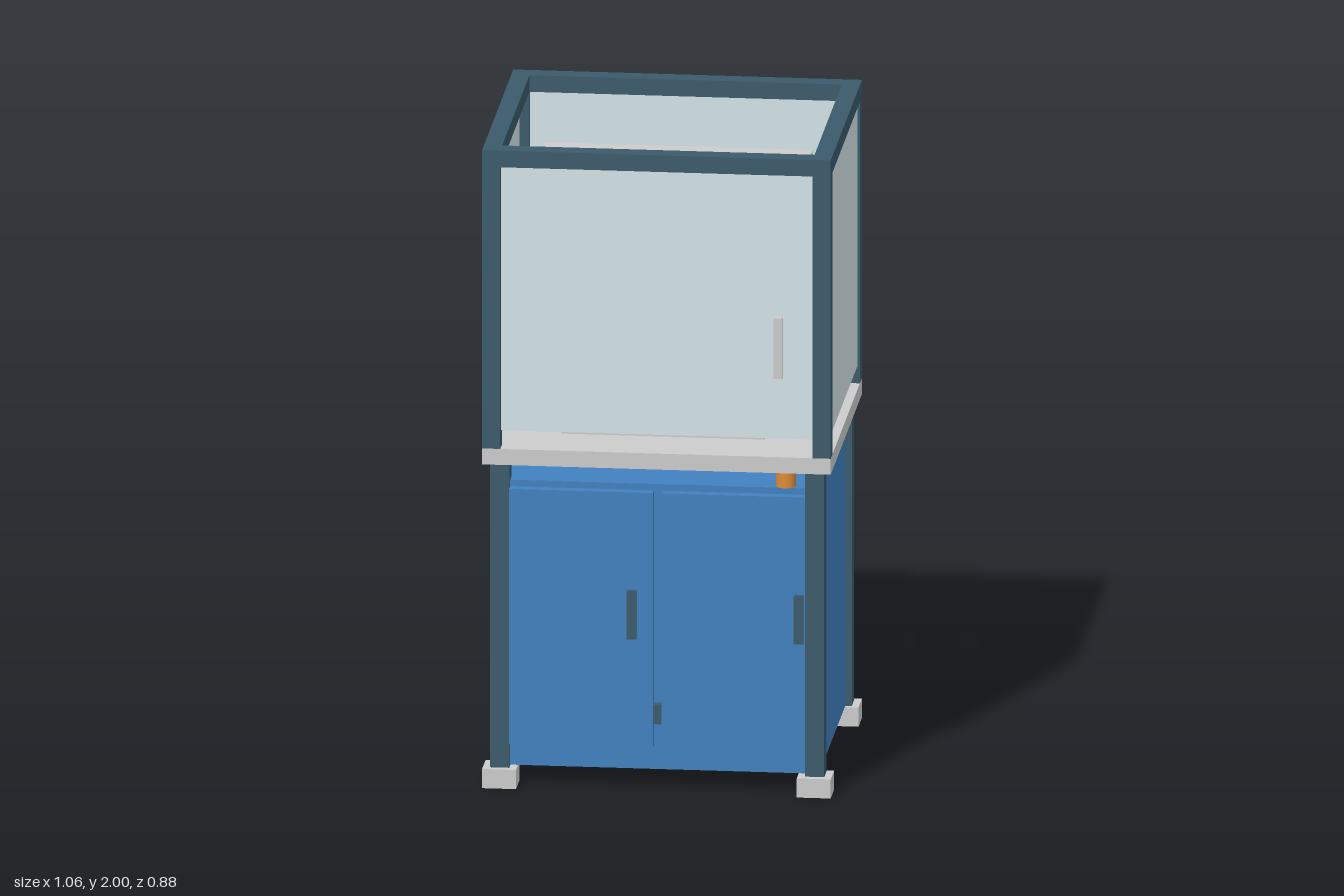
import * as THREE from 'three';

const mat = (color) => new THREE.MeshStandardMaterial({ color });

export function createModel() {
  const model = new THREE.Group();
  const grey = mat(0xcccccc), steel = mat(0x3a5a6b), blue = mat(0x4080bf);
  const glass = mat(0xd3e3e7), cream = mat(0xf0ead8), orange = mat(0xdd8a38);

  // Box given by its extents along each axis
  const box = (name, material, [x0, x1], [y0, y1], [z0, z1]) => {
    const mesh = new THREE.Mesh(new THREE.BoxGeometry(x1 - x0, y1 - y0, z1 - z0), material);
    mesh.position.set((x0 + x1) / 2, (y0 + y1) / 2, (z0 + z1) / 2);
    mesh.name = name;
    model.add(mesh);
    return mesh;
  };
  // Extents mirrored to the given side
  const side = (s, a, b) => (s > 0 ? [a, b] : [-b, -a]);

  // Feet, legs and the posts of the upper enclosure
  for (const sx of [-1, 1]) {
    for (const sz of [-1, 1]) {
      box('foot', grey, side(sx, 0.425, 0.528), [0, 0.06], side(sz, 0.343, 0.44));
      box('leg', steel, side(sx, 0.448, 0.506), [0.06, 1.015], side(sz, 0.358, 0.418));
      box('enclosurePost', steel, side(sx, 0.473, 0.528), [1.065, 1.948], side(sz, 0.383, 0.44));
    }
  }

  // Base cabinet with a stretcher at the front and back
  box('cabinetBody', blue, [-0.487, 0.487], [0.062, 0.955], [-0.39, 0.39]);
  for (const sz of [-1, 1]) {
    box('stretcher', steel, [-0.448, 0.448], [0.21, 0.27], side(sz, 0.39, 0.417));
  }

  // Pair of doors with their handles
  for (const sx of [-1, 1]) {
    box('door', blue, side(sx, 0.013, 0.448), [0.135, 0.935], [0.39, 0.42]);
  }
  for (const x of [-0.076, 0.43]) {
    box('doorHandle', steel, [x - 0.014, x + 0.014], [0.48, 0.63], [0.42, 0.44]);
  }

  // Tabletop and the stop button below its front edge
  box('tabletop', grey, [-0.528, 0.528], [1.015, 1.065], [-0.44, 0.44]);
  const button = new THREE.Mesh(new THREE.CylinderGeometry(0.03, 0.03, 0.05, 24), orange);
  button.position.set(0.388, 0.99, 0.4);
  button.name = 'stopButton';
  model.add(button);

  // Top rails and glazing of the enclosure
  for (const s of [-1, 1]) {
    box('longTopRail', steel, [-0.528, 0.528], [1.948, 2], side(s, 0.383, 0.44));
    box('sideTopRail', steel, side(s, 0.473, 0.528), [1.948, 2], [-0.383, 0.383]);
    box('longWindow', glass, [-0.473, 0.473], [1.118, 1.948], side(s, 0.403, 0.42));
    box('sideWindow', glass, side(s, 0.503, 0.52), [1.118, 1.948], [-0.383, 0.383]);
  }
  box('windowHandle', grey, [0.355, 0.382], [1.31, 1.5], [0.42, 0.44]);

  // Machine inside: bed, body, head, column and overhead beam
  box('bed', grey, [-0.308, 0.308], [1.065, 1.12], [-0.257, 0.254]);
  box('machineBody', cream, [-0.14, 0.14], [1.12, 1.5], [-0.261, -0.027]);
  box('toolHead', steel, [-0.107, 0.107], [1.22, 1.42], [-0.027, 0.055]);
  box('columnBase', steel, [-0.058, 0.058], [1.5, 1.62], [-0.207, -0.08]);
  box('column', grey, [-0.03, 0.03], [1.62, 1.79], [-0.172, -0.118]);
  box('beam', grey, [-0.407, 0.407], [1.79, 1.852], [-0.177, -0.112]);
  for (const sx of [-1, 1]) {
    box('guidePin', grey, side(sx, 0.128, 0.157), [1.12, 1.2], [0.04, 0.069]);
  }

  // Control units by the right-hand window
  box('controlUnit', steel, [0.39, 0.43], [1.14, 1.36], [0.021, 0.257]);
  box('controlUnit', steel, [0.435, 0.503], [1.13, 1.4], [0.043, 0.302]);

  return model;
}
